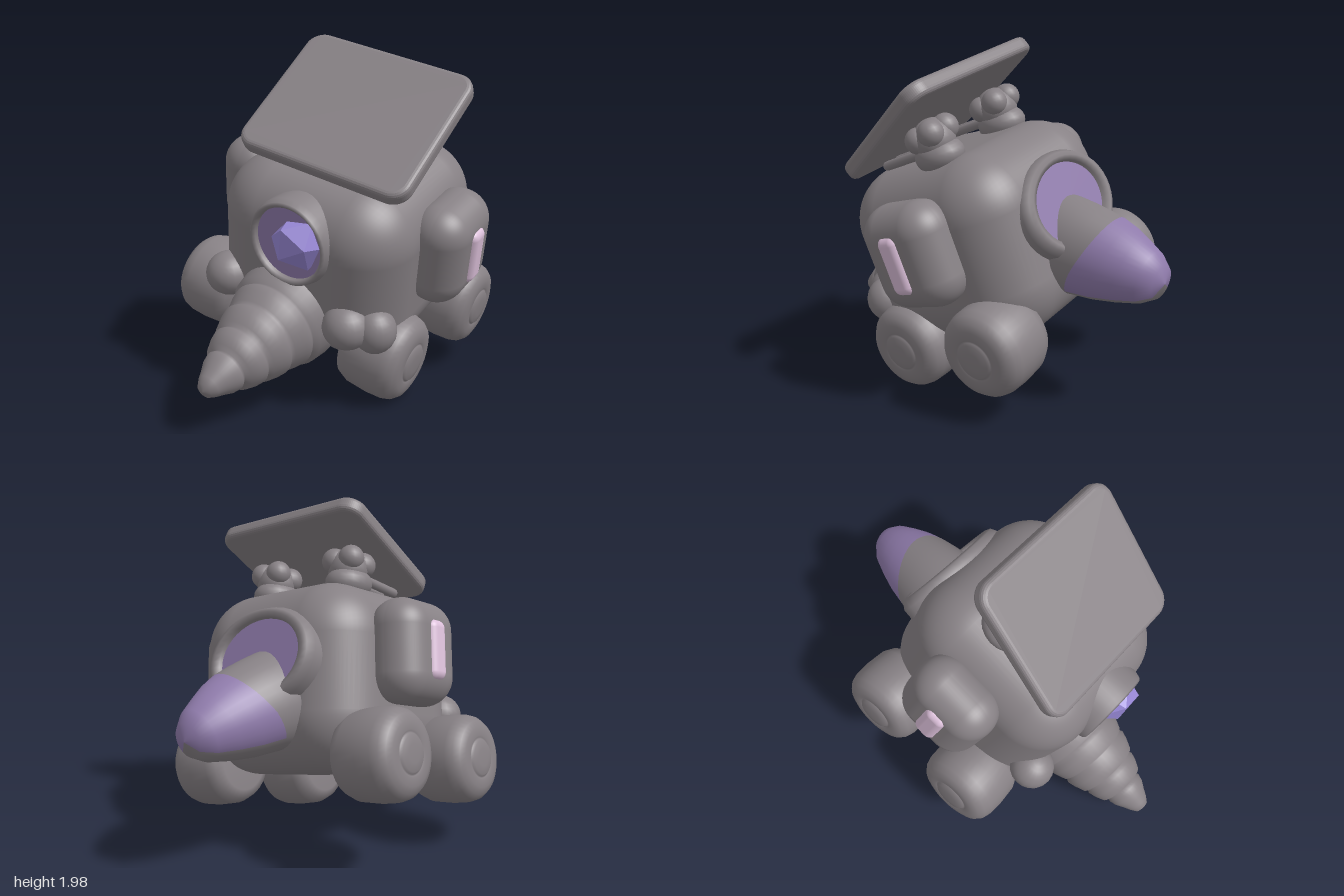
import * as THREE from 'three';
import { RoundedBoxGeometry } from 'three/addons/geometries/RoundedBoxGeometry.js';

const material = (name, color) => {
  const m = new THREE.MeshStandardMaterial({ color });
  m.name = name;
  return m;
};

export function createModel() {
  const grey = material('warm grey', 0x878185);
  const violet = material('violet', 0x8f7bab);
  const crystalViolet = material('crystal violet', 0x9888d6);
  const pink = material('pale pink', 0xdcc0da);

  const model = new THREE.Group();
  const rover = new THREE.Group();
  rover.name = 'rover';
  model.add(rover);

  const add = (name, geometry, mat, x, y, z, rx = 0, ry = 0, rz = 0) => {
    const mesh = new THREE.Mesh(geometry, mat);
    mesh.name = name;
    mesh.position.set(x, y, z);
    mesh.rotation.set(rx, ry, rz);
    rover.add(mesh);
    return mesh;
  };
  const lathe = (pts, segments = 40, start = 0, length = Math.PI * 2) =>
    new THREE.LatheGeometry(pts.map(([r, y]) => new THREE.Vector2(r, y)), segments, start, length);

  // Rounded cabin
  add('body', new RoundedBoxGeometry(1.16, 1.06, 1.18, 8, 0.32), grey, 0.035, 0.855, 0.01);

  // Soft tyres with a shallow groove around the hub cap
  const wheel = lathe([[0, -0.2], [0.17, -0.2], [0.22, -0.178], [0.246, -0.12], [0.255, 0],
    [0.251, 0.09], [0.238, 0.135], [0.21, 0.168], [0.17, 0.184], [0.125, 0.187],
    [0.116, 0.18], [0.106, 0.182], [0.096, 0.194], [0.05, 0.2], [0, 0.2]]);
  const knob = new THREE.SphereGeometry(1, 20, 14);

  for (const side of [1, -1]) {
    const label = side > 0 ? 'left' : 'right';
    const [frontX, frontZ] = side > 0 ? [0.52, 0.335] : [-0.62, 0.36];
    add(label + 'FrontWheel', wheel, grey, frontX, 0.4, frontZ, 0, 0, -side * Math.PI / 2);
    add(label + 'RearWheel', wheel, grey, side * 0.6, 0.405, -0.32, 0, 0, -side * Math.PI / 2);

    // Side pod with its light bar
    const podX = side * 0.633 + 0.02;
    add(label + 'Pod', new RoundedBoxGeometry(0.34, 0.59, 0.53, 8, 0.165), grey, podX, 0.975, -0.04);
    add(label + 'LightBar', new RoundedBoxGeometry(0.1, 0.335, 0.145, 6, 0.048), pink,
      podX + side * 0.143, 0.975, -0.04);

    // Joint beside the drill
    add(label + 'Joint', knob, grey, side * 0.4, 0.68, 0.57).scale.set(0.135, 0.125, 0.135);

    // Panel mount: a foot, a chunky cluster of knobs and two struts
    const mountX = side * 0.28 + 0.04;
    add(label + 'MountFoot', knob, grey, mountX, 1.41, -0.12).scale.set(0.13, 0.1, 0.15);
    for (const [dx, dy, dz, r] of [[0, 0, 0, 0.12], [0.06, 0.02, 0.06, 0.075], [-0.06, 0.02, 0.06, 0.075],
      [0.06, 0.045, -0.05, 0.075], [-0.06, 0.045, -0.05, 0.075]]) {
      add(label + 'MountKnob', knob, grey, mountX + dx, 1.5 + dy, -0.12 + dz).scale.setScalar(r);
    }
    for (const dx of [-0.05, 0.05]) {
      add(label + 'Strut', new THREE.CapsuleGeometry(0.028, 0.34, 4, 10), grey,
        mountX + dx, 1.43, 0.09, Math.PI / 2 + 0.1);
    }
  }
  // Second lobe on the left joint
  add('leftJointArm', knob, grey, 0.53, 0.66, 0.49).scale.set(0.12, 0.13, 0.12);

  // Stepped drill: each tier flares, tapers, then drops to the next
  const drill = [[0, -0.1], [0.28, -0.1], [0.31, 0], [0.312, 0.06], [0.295, 0.16]];
  const tiers = [[0.17, 0.272], [0.31, 0.235], [0.45, 0.185], [0.58, 0.125]];
  tiers.forEach(([y, r], i) => {
    const end = i < 3 ? tiers[i + 1][0] : 0.7;
    drill.push([r - 0.012, y + 0.005], [r, y + 0.03], [r - 0.01, y + 0.07], [r - 0.035, end - 0.005]);
  });
  drill.push([0.068, 0.74], [0.045, 0.775], [0, 0.79]);
  add('drill', lathe(drill), grey, 0, 0.585, 0.5, Math.PI / 2 + 0.06);

  // Round front window with a cut crystal inside
  const collar = (r, t) => lathe([[r, -0.2], [r, -0.02], [r - t * 0.25, 0.02], [r - t * 0.55, 0.03],
    [r - t * 0.9, 0.015], [r - t, -0.05]]);
  add('frontWindowRim', collar(0.25, 0.045), grey, 0.04, 1.095, 0.61, Math.PI / 2 - 0.08);
  add('frontWindow', new THREE.CircleGeometry(0.225, 40), violet, 0.04, 1.095, 0.603, -0.08);
  const crystal = add('crystal', new THREE.IcosahedronGeometry(0.175, 0), crystalViolet,
    0.085, 1.1, 0.57, 0.7, 0.2, 0.9);
  crystal.scale.set(1.05, 0.92, 0.88);

  // Wide hood over the rear window
  add('rearWindowRim', collar(0.325, 0.085), grey, 0, 0.95, -0.62, -Math.PI / 2 + 0.18).scale.set(1.17, 1, 0.9);
  add('rearWindow', new THREE.CircleGeometry(0.26, 40), violet, 0, 0.95, -0.615, Math.PI + 0.18)
    .scale.set(1.17, 0.9, 1);

  // Drooping tail cone, narrower on top, with a painted tip; the seam leans back towards the belly
  const seam = 0.22, end = 0.655, step = Math.PI / 18, half = 13 * step;
  const tip = [[0.258, seam], [0.232, 0.34], [0.195, 0.45], [0.15, 0.56], [0.095, 0.63], [0, end]];
  const addTail = (name, pts, mat, segments, start) => {
    const geometry = lathe(pts, segments, start, segments * step);
    const p = geometry.attributes.position;
    for (let i = 0; i < p.count; i++) {
      const y = p.getY(i), z = p.getZ(i);
      const lean = y < seam ? Math.max(0, y / seam) : (end - y) / (end - seam);
      p.setX(i, p.getX(i) * (0.97 - 0.7 * Math.max(0, z)));
      p.setY(i, y + 0.4 * lean * z);
    }
    add(name, geometry, mat, 0, 0.72, -0.5, -Math.PI / 2 - 0.395, 0, -0.1);
  };
  addTail('tailBase', [[0.28, -0.1], [0.285, 0], [0.28, 0.08], [0.271, 0.15], tip[0]], grey, 36, -half);
  addTail('tailTipPaint', tip, violet, 26, -half);
  addTail('tailTipUnderside', tip, grey, 10, half);

  // Tilted roof panel with rounded corners
  const w = 0.495, h = 0.4, c = 0.075;
  const outline = new THREE.Shape();
  outline.absarc(w - c, h - c, c, 0, Math.PI / 2);
  outline.absarc(c - w, h - c, c, Math.PI / 2, Math.PI);
  outline.absarc(c - w, c - h, c, Math.PI, Math.PI * 1.5);
  outline.absarc(w - c, c - h, c, Math.PI * 1.5, Math.PI * 2);
  const panel = new THREE.ExtrudeGeometry(outline, {
    depth: 0.035, bevelSize: 0.03, bevelThickness: 0.03, bevelSegments: 4, curveSegments: 8,
  });
  panel.translate(0, 0, -0.0175);
  panel.rotateX(-Math.PI / 2);
  add('roofPanel', panel, grey, 0.06, 1.625, 0.03, 0.46);

  // Turn the rover to its resting pose
  const forward = new THREE.Vector3(-0.594, -0.243, 0.766).normalize();
  const up = new THREE.Vector3().crossVectors(forward, new THREE.Vector3(0.803, -0.206, 0.556)).normalize();
  const left = new THREE.Vector3().crossVectors(up, forward);
  rover.quaternion.setFromRotationMatrix(new THREE.Matrix4().makeBasis(left, up, forward));

  // Centre on the ground
  model.updateMatrixWorld(true);
  const box = new THREE.Box3().setFromObject(model, true);
  const mid = box.getCenter(new THREE.Vector3());
  rover.position.set(-mid.x, -box.min.y, -mid.z);
  return model;
}
